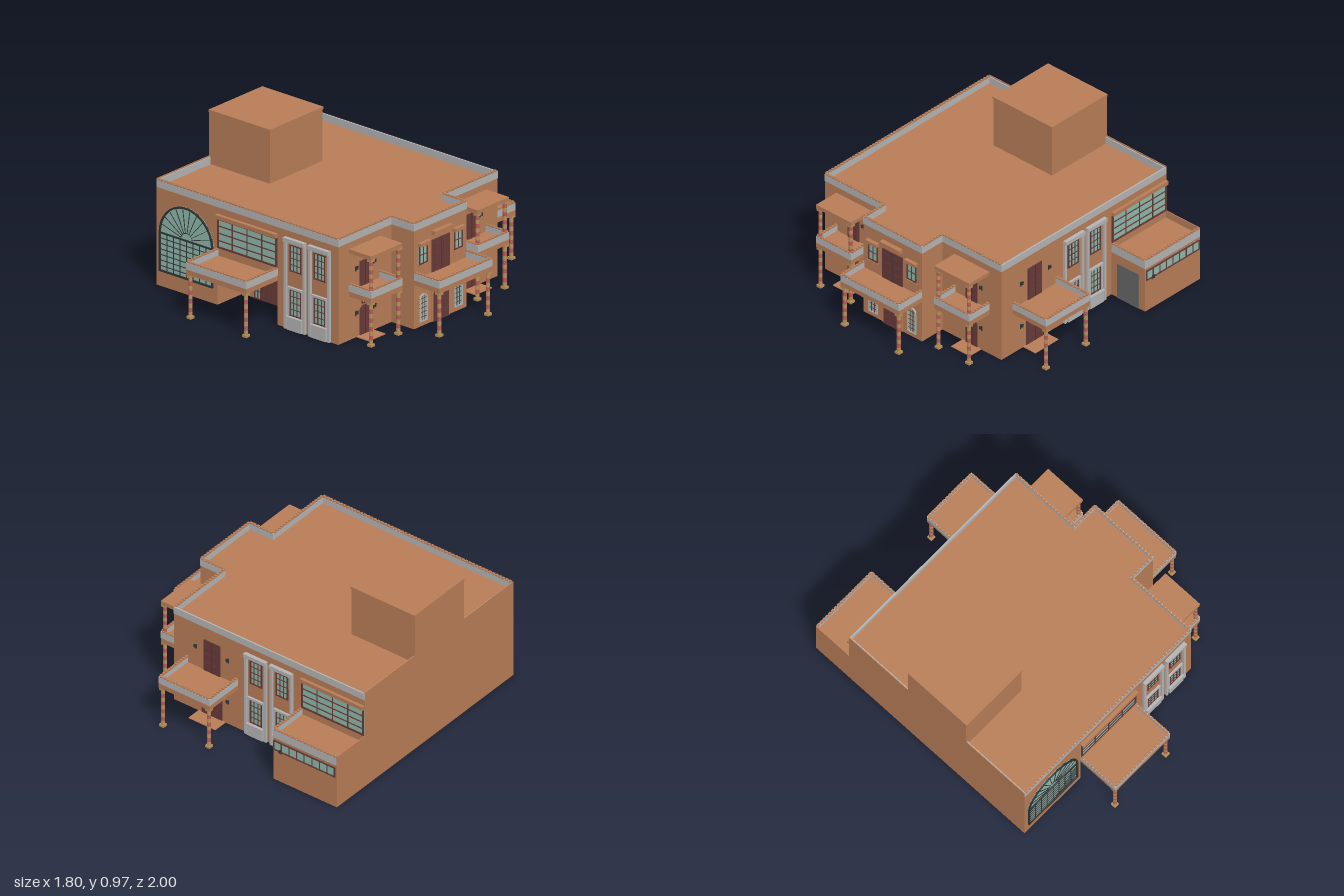
import * as THREE from 'three';
import { mergeGeometries } from 'three/addons/utils/BufferGeometryUtils.js';

const mat = (color) => new THREE.MeshStandardMaterial({ color, flatShading: true });
const BRICK = mat(0xb87d57), GREY = mat(0xb4b4b4), GLASS = mat(0x8fb8aa), MAROON = mat(0x673a38),
  DARK = mat(0x2f3636), TAN = mat(0xb8915a), PINK = mat(0xb85a58), STEEL = mat(0x666666);
const FRONT = 0.715, BACK = -0.705, LEFT = -0.895, RIGHT = 0.525, BAY = 0.70;

const boxGeo = (x0, x1, y0, y1, z0, z1) => new THREE.BoxGeometry(x1 - x0, y1 - y0, z1 - z0)
  .translate((x0 + x1) / 2, (y0 + y1) / 2, (z0 + z1) / 2);

function add(parent, name, material, geos) {
  const list = Array.isArray(geos) ? geos : [geos];
  const mesh = new THREE.Mesh(list.length > 1 ? mergeGeometries(list) : list[0], material);
  mesh.name = name;
  parent.add(mesh);
  return mesh;
}
const box = (parent, name, material, ...b) => add(parent, name, material, boxGeo(...b));

function part(parent, name, x = 0, y = 0, z = 0, turn = 0) {
  const g = new THREE.Group();
  g.name = name;
  g.position.set(x, y, z);
  g.rotation.y = turn;
  parent.add(g);
  return g;
}

// Plan outline of the building, drawn in (x, -z) and optionally inset
function footprint(t, recess, Type = THREE.Shape) {
  const f = FRONT - t, b = BACK + t, r = RIGHT - t;
  const pts = [[LEFT + t, f]];
  if (recess) pts.push([-0.42, f], [-0.42, 0.49], [0.05, 0.49], [0.05, f]);
  pts.push([r, f], [r, 0.24 - t], [BAY - t, 0.24 - t], [BAY - t, -0.23 + t], [r, -0.23 + t], [r, b], [LEFT + t, b]);
  return new Type(pts.map(([x, z]) => new THREE.Vector2(x, -z)));
}
const raise = (shape, y0, y1) => new THREE.ExtrudeGeometry(shape, { depth: y1 - y0, bevelEnabled: false })
  .rotateX(-Math.PI / 2).translate(0, y0, 0);

// Row of small coping tiles along a path of [x, z] points
function coping(parent, pts, y) {
  const geos = [];
  for (let i = 0; i + 1 < pts.length; i++) {
    const [ax, az] = pts[i], [bx, bz] = pts[i + 1];
    const len = Math.hypot(bx - ax, bz - az), n = Math.max(1, Math.round(len / 0.025));
    for (let k = 0; k < n; k++) {
      const s = (k + 0.5) / n;
      geos.push(new THREE.BoxGeometry(len / n * 0.7, 0.008, 0.016).rotateY(Math.atan2(az - bz, bx - ax))
        .translate(ax + (bx - ax) * s, y, az + (bz - az) * s));
    }
  }
  add(parent, 'copingTiles', BRICK, geos);
}

// Rectangular window standing on local y = 0, facing +z
function gridWindow(parent, name, x, y, w, h, cols, rows, bar = 0.004, frame = MAROON) {
  const g = part(parent, name, x, y, 0);
  box(g, 'glass', GLASS, -w / 2, w / 2, 0, h, -0.003, 0.003);
  const bars = [];
  for (let i = 0; i <= cols; i++) {
    const t = i % cols ? bar / 2 : bar, c = -w / 2 + t + (w - 2 * t) * i / cols;
    bars.push(boxGeo(c - t, c + t, 0, h, 0, 0.008));
  }
  for (let j = 0; j <= rows; j++) {
    const t = j % rows ? bar / 2 : bar, c = t + (h - 2 * t) * j / rows;
    bars.push(boxGeo(-w / 2, w / 2, c - t, c + t, 0, 0.007));
  }
  add(g, 'frame', frame, bars);
  return g;
}

// Arched outline: straight sides up to h - rise, elliptical head
function arch(w, h, rise, y0 = 0, Type = THREE.Shape) {
  const s = new Type();
  s.moveTo(-w / 2, y0).lineTo(w / 2, y0).lineTo(w / 2, h - rise);
  s.absellipse(0, h - rise, w / 2, rise, 0, Math.PI, false, 0);
  s.lineTo(-w / 2, y0);
  return s;
}
function archPanel(parent, name, material, w, h, rise, depth, hole) {
  const s = arch(w, h, rise);
  if (hole) s.holes.push(arch(w - 2 * hole, h - hole, rise - hole, hole, THREE.Path));
  return add(parent, name, material, new THREE.ExtrudeGeometry(s, { depth, bevelEnabled: false, curveSegments: 20 }));
}
function archWindow(parent, x, y, w, h) {
  const g = part(parent, 'archedWindow', x, y, 0);
  archPanel(g, 'glass', GLASS, w, h, w * 0.45, 0.003);
  archPanel(g, 'frame', GREY, w, h, w * 0.45, 0.009, 0.007);
  const bars = [-w / 6, w / 6].map((c) => boxGeo(c - 0.0015, c + 0.0015, 0, h - 0.01, 0, 0.006));
  for (let j = 1; j < 6; j++) bars.push(boxGeo(-w / 2, w / 2, h * j / 6 - 0.0015, h * j / 6 + 0.0015, 0, 0.006));
  add(g, 'mullions', MAROON, bars);
}
function door(parent, x, y, w, h, rise) {
  const g = part(parent, 'door', x, y, 0);
  if (rise) archPanel(g, 'leaf', MAROON, w, h, rise, 0.006);
  else box(g, 'leaf', MAROON, -w / 2, w / 2, 0, h, -0.002, 0.006);
  box(g, 'centreSeam', DARK, -0.001, 0.001, 0, h - 0.004, 0, 0.007);
  for (const s of [-1, 1]) for (let j = 0; j < 3; j++)
    box(g, 'panel', MAROON, s * w / 4 - w * 0.15, s * w / 4 + w * 0.15, h * (0.06 + j * 0.29), h * (0.29 + j * 0.29), 0, 0.009);
}

// Wall lamp: plate, bracket and lantern
function lamp(parent, x, y, z = 0) {
  const g = part(parent, 'wallLamp', x, y, z);
  add(g, 'bracket', DARK, [boxGeo(-0.004, 0.004, -0.018, 0.012, 0, 0.004), boxGeo(-0.002, 0.002, -0.004, 0, 0, 0.018)]);
  add(g, 'lantern', DARK, new THREE.CylinderGeometry(0.008, 0.005, 0.02, 6).translate(0, 0.008, 0.016));
}

// Round column with alternating bands, square base and capital
function column(parent, x, z, y0, y1) {
  const g = part(parent, 'column', x, y0, z), h = y1 - y0, n = Math.round(h / 0.03), s = (h - 0.03) / n;
  const bands = [[], []];
  for (let i = 0; i < n; i++)
    bands[i % 2].push(new THREE.CylinderGeometry(0.0125, 0.0125, s, 12).translate(0, 0.015 + s * (i + 0.5), 0));
  add(g, 'tanBands', TAN, bands[0]);
  add(g, 'pinkBands', PINK, bands[1]);
  add(g, 'baseAndCapital', TAN, [boxGeo(-0.017, 0.017, 0, 0.015, -0.017, 0.017), boxGeo(-0.017, 0.017, h - 0.015, h, -0.017, 0.017)]);
}

// Balcony in local space: wall at z = 0, projecting to z = d
function balcony(parent, x, z, turn, w, d, upperTop) {
  const g = part(parent, 'balcony', x, 0, z, turn), a = w / 2, t = 0.008;
  box(g, 'deck', BRICK, -a, a, 0.28, 0.315, 0, d);
  add(g, 'parapet', GREY, [boxGeo(-a, a, 0.312, 0.357, d - t, d + 0.001),
    boxGeo(-a - 0.001, -a + t, 0.312, 0.357, 0, d), boxGeo(a - t, a + 0.001, 0.312, 0.357, 0, d)]);
  coping(g, [[-a + 0.006, 0], [-a + 0.006, d - 0.006], [a - 0.006, d - 0.006], [a - 0.006, 0]], 0.361);
  for (const s of [-1, 1]) {
    column(g, s * (a - 0.018), d - 0.018, 0, 0.28);
    if (upperTop) column(g, s * (a - 0.018), d - 0.018, 0.315, upperTop);
  }
  if (upperTop) box(g, 'canopy', BRICK, -a, a, upperTop, upperTop + 0.025, 0, d);
  return g;
}

// Tall grey-framed strip with two stacked windows
function windowStrip(parent, x) {
  const g = part(parent, 'windowStrip', x);
  const grey = [boxGeo(-0.0825, 0.0825, 0.555, 0.58, 0, 0.025), boxGeo(-0.058, 0.058, 0, 0.075, 0, 0.02),
    boxGeo(-0.062, 0.062, 0.073, 0.085, 0, 0.025), boxGeo(-0.058, 0.058, 0.258, 0.272, 0, 0.015)];
  for (const s of [-1, 1]) {
    grey.push(boxGeo(s * 0.074 - 0.0085, s * 0.074 + 0.0085, 0, 0.56, 0, 0.016));
    grey.push(boxGeo(s * 0.053 - 0.006, s * 0.053 + 0.006, 0.085, 0.26, 0, 0.01));
  }
  add(g, 'stoneTrim', GREY, grey);
  gridWindow(g, 'lowerWindow', 0, 0.087, 0.09, 0.17, 3, 4);
  gridWindow(g, 'upperWindow', 0, 0.37, 0.09, 0.17, 3, 4);
}

export function createModel() {
  const model = new THREE.Group();
  model.name = 'building';

  // Main body, parapet and tower
  add(model, 'groundFloor', BRICK, raise(footprint(0, true), 0, 0.28));
  add(model, 'upperFloor', BRICK, raise(footprint(0, false), 0.28, 0.622));
  const rim = footprint(-0.002, false);
  rim.holes.push(footprint(0.008, false, THREE.Path));
  add(model, 'roofParapet', GREY, raise(rim, 0.622, 0.668));
  const edge = footprint(0.004, false).getPoints().map((p) => [p.x, -p.y]);
  coping(model, edge.slice(0, -1), 0.672);
  box(model, 'leftWall', BRICK, -0.899, -0.894, 0, 0.675, BACK, FRONT);
  box(model, 'tower', BRICK, -0.899, -0.425, 0.6, 0.952, -0.228, 0.243);
  box(model, 'towerCap', BRICK, -0.9, -0.42, 0.952, 0.967, -0.232, 0.247);

  // Front wall
  const front = part(model, 'frontWall', 0, 0, FRONT);
  const big = part(front, 'greatArchedWindow', -0.66, 0.098, 0);
  archPanel(big, 'glass', GLASS, 0.42, 0.455, 0.21, 0.003);
  archPanel(big, 'frame', DARK, 0.42, 0.455, 0.21, 0.012, 0.011);
  const bars = [boxGeo(-0.2, 0.2, 0.24, 0.25, 0, 0.009)];
  for (let i = 1; i < 8; i++) bars.push(boxGeo(-0.202 + i * 0.0505, -0.199 + i * 0.0505, 0, 0.245, 0, 0.007));
  for (let j = 1; j < 7; j++) bars.push(boxGeo(-0.2, 0.2, j * 0.035 - 0.002, j * 0.035 + 0.002, 0, 0.007));
  for (let k = 1; k < 11; k++)
    bars.push(boxGeo(0.045, 0.203, -0.0015, 0.0015, 0, 0.007).rotateZ(k * Math.PI / 11).translate(0, 0.245, 0));
  bars.push(new THREE.TorusGeometry(0.045, 0.003, 4, 16, Math.PI).translate(0, 0.245, 0.003));
  add(big, 'mullions', DARK, bars);
  gridWindow(front, 'upperGlazing', -0.185, 0.365, 0.468, 0.19, 4, 4, 0.006);
  box(front, 'windowCanopy', BRICK, -0.42, 0.05, 0.555, 0.58, 0, 0.025);
  windowStrip(front, 0.193);
  windowStrip(front, 0.383);
  balcony(model, -0.185, FRONT, 0, 0.47, 0.28);
  const entrance = part(model, 'entrance', 0, 0, 0.491);
  door(entrance, -0.185, 0, 0.17, 0.2);
  for (const x of [-0.297, -0.073]) gridWindow(entrance, 'sidelight', x, 0, 0.055, 0.2, 2, 4);
  for (const x of [-0.357, -0.013]) lamp(entrance, x, 0.16);

  // Right side: two porches with upper balconies
  for (const z of [0.482, -0.468]) {
    const porch = balcony(model, RIGHT, z, Math.PI / 2, 0.28, 0.175, 0.555);
    porch.name = 'sidePorch';
    door(porch, 0, 0, 0.09, 0.19, 0.03);
    door(porch, 0, 0.315, 0.09, 0.16);
    gridWindow(porch, 'transom', 0, 0.2, 0.056, 0.044, 2, 2, 0.003);
    for (const x of [-0.08, 0.08]) for (const y of [0.155, 0.44]) lamp(porch, x, y);
    box(porch, 'doorstep', BRICK, -0.075, 0.075, 0, 0.005, 0, 0.1);
  }

  // Right side: projecting centre bay
  const bay = balcony(model, BAY, 0.005, Math.PI / 2, 0.47, 0.2);
  bay.name = 'centreBay';
  box(bay, 'doorSurround', BRICK, -0.08, 0.08, 0, 0.248, 0, 0.005);
  const bayDoors = part(bay, 'bayDoors', 0, 0, 0.005);
  door(bayDoors, 0, 0, 0.13, 0.21, 0.035);
  gridWindow(bayDoors, 'transom', 0, 0.216, 0.08, 0.024, 3, 1, 0.003);
  door(bay, 0, 0.315, 0.16, 0.205);
  box(bay, 'doorCanopy', BRICK, -0.08, 0.08, 0.555, 0.58, 0, 0.03);
  for (const x of [-0.155, 0.155]) {
    archWindow(bay, x, 0.03, 0.07, 0.175);
    gridWindow(bay, 'upperWindow', x, 0.395, 0.075, 0.12, 2, 2);
    box(bay, 'windowCanopy', BRICK, x - 0.045, x + 0.045, 0.515, 0.537, 0, 0.026);
    box(bay, 'windowSill', BRICK, x - 0.043, x + 0.043, 0.385, 0.395, 0, 0.012);
  }
  lamp(bay, 0.1, 0.235);
  lamp(bay, -0.1, 0.235);

  // Back wall, with local x running toward the model's right
  const back = part(model, 'backWall', 0, 0, BACK, Math.PI);
  windowStrip(back, 0.282);
  windowStrip(back, 0.09);
  gridWindow(back, 'upperGlazing', 0.66, 0.365, 0.468, 0.19, 4, 4, 0.006);
  box(back, 'windowCanopy', BRICK, 0.425, 0.895, 0.555, 0.58, 0, 0.02);
  const rear = balcony(model, 0.24, BACK, Math.PI, 0.38, 0.27);
  door(rear, 0, 0, 0.15, 0.21);
  door(rear, 0, 0.315, 0.12, 0.22);
  box(rear, 'doorstep', BRICK, -0.1, 0.1, 0, 0.005, 0, 0.1);
  for (const x of [-0.12, 0.12]) for (const y of [0.16, 0.46]) lamp(rear, x, y);

  // Garage block at the back
  const garage = part(model, 'garage');
  box(garage, 'walls', BRICK, -0.899, -0.425, 0, 0.315, -0.975, BACK);
  box(garage, 'leftParapet', BRICK, -0.899, -0.893, 0.31, 0.362, -0.975, BACK);
  add(garage, 'parapet', GREY, [boxGeo(-0.897, -0.424, 0.3, 0.357, -0.976, -0.967), boxGeo(-0.433, -0.424, 0.3, 0.357, -0.975, BACK)]);
  coping(garage, [[-0.893, -0.971], [-0.429, -0.971], [-0.429, BACK]], 0.361);
  box(garage, 'garageDoor', STEEL, -0.428, -0.42, 0, 0.24, -0.927, -0.755);
  const rearFace = part(garage, 'rearFace', 0, 0, -0.975, Math.PI);
  gridWindow(rearFace, 'stripWindow', 0.66, 0.215, 0.46, 0.07, 8, 1);
  lamp(rearFace, 0.485, 0.22);
  return model;
}
